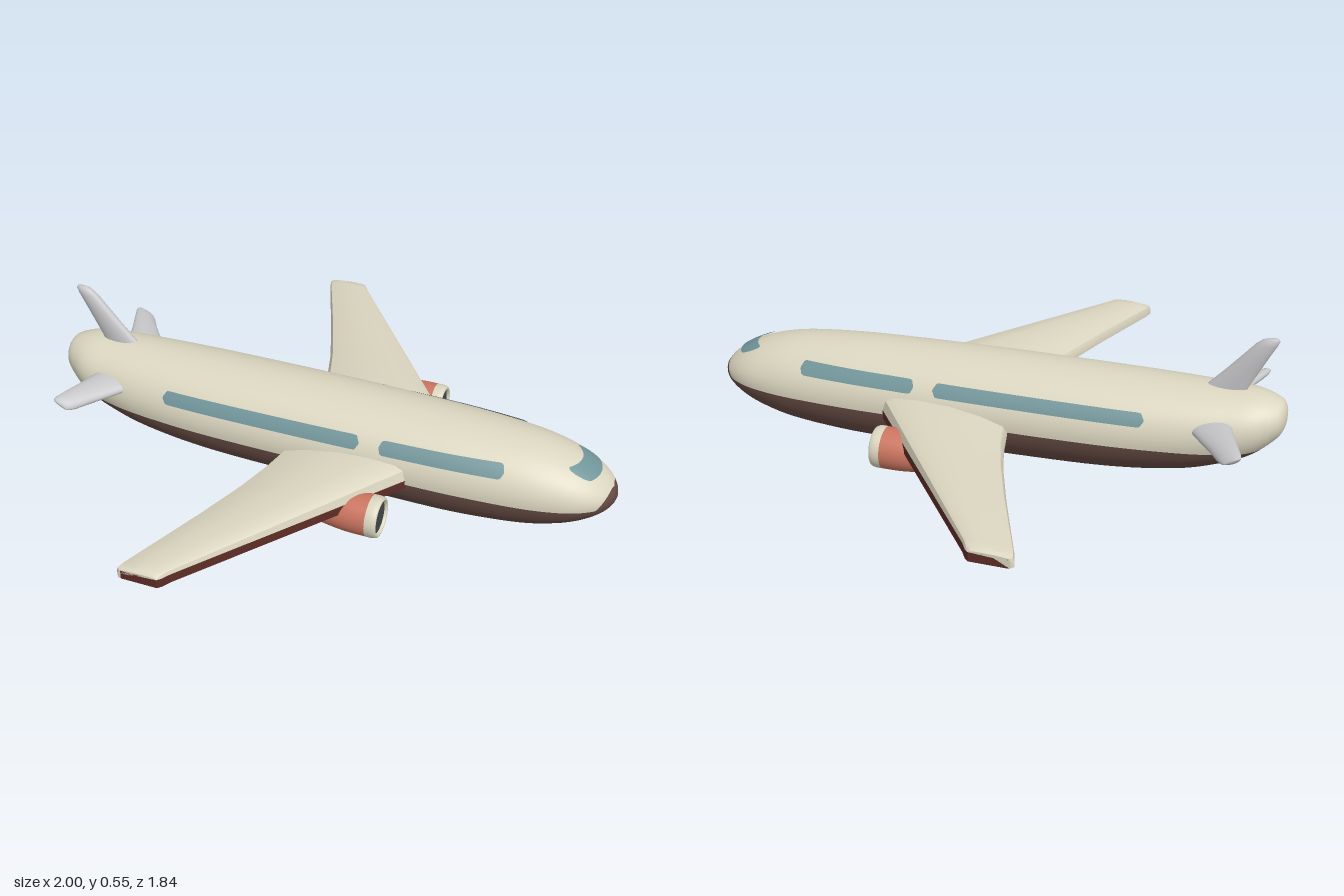
import * as THREE from 'three';
import { toCreasedNormals } from 'three/addons/utils/BufferGeometryUtils.js';

const V = (x, y, z) => new THREE.Vector3(x, y, z);
const paint = (name, color, side = THREE.FrontSide) => {
  const m = new THREE.MeshStandardMaterial({ color, side });
  m.name = name;
  return m;
};

// Skins a list of equal-length rings; closed lofts wrap, get end caps and face outward.
function loft(rings, closed) {
  const n = rings[0].length, pts = rings.flat(), index = [];
  const last = closed ? n : n - 1;
  for (let i = 0; i < rings.length - 1; i++) for (let j = 0; j < last; j++) {
    const a = i * n + j, b = i * n + (j + 1) % n;
    index.push(a, a + n, b + n, a, b + n, b);
  }
  if (closed) {
    for (const [r, flip] of [[0, false], [rings.length - 1, true]]) {
      const c = pts.length, mid = V(0, 0, 0);
      rings[r].forEach(p => mid.addScaledVector(p, 1 / n));
      pts.push(mid);
      for (let j = 0; j < n; j++) {
        const a = r * n + j, b = r * n + (j + 1) % n;
        index.push(...(flip ? [c, b, a] : [c, a, b]));
      }
    }
    let volume = 0;
    for (let k = 0; k < index.length; k += 3)
      volume += pts[index[k]].dot(pts[index[k + 1]].clone().cross(pts[index[k + 2]]));
    if (volume < 0) index.reverse();
  }
  const g = new THREE.BufferGeometry().setFromPoints(pts);
  g.setIndex(index);
  g.computeVertexNormals();
  return g;
}

// Fuselage stations: x, top, bottom, half width
const STATIONS = [
  [-1, .28, .27, .005], [-.993, .312, .235, .045], [-.97, .335, .198, .08], [-.9, .354, .138, .125],
  [-.8, .358, .09, .15], [-.65, .36, .048, .172], [-.4, .36, .02, .19], [0, .358, .008, .195],
  [.3, .352, .001, .194], [.5, .345, .002, .19], [.7, .328, .018, .176], [.82, .302, .045, .155],
  [.9, .27, .076, .127], [.96, .23, .112, .086], [.99, .197, .142, .042], [1, .17, .165, .004]
];
const heights = new THREE.CatmullRomCurve3(STATIONS.map(s => V(s[0], s[1], s[2])), false, 'catmullrom');
const widths = new THREE.CatmullRomCurve3(STATIONS.map(s => V(s[0], s[3], 0)), false, 'catmullrom');
const SECTIONS = Array.from({ length: 121 }, (_, i) => {
  const h = heights.getPoint(i / 120), w = widths.getPoint(i / 120);
  return { x: h.x, yc: (h.y + h.z) / 2, ry: Math.max((h.y - h.z) / 2, .001), rz: Math.max(w.y, .001) };
});
function sectionAt(x) {
  let i = 0;
  while (i < SECTIONS.length - 2 && SECTIONS[i + 1].x < x) i++;
  const a = SECTIONS[i], b = SECTIONS[i + 1], f = (x - a.x) / (b.x - a.x), o = {};
  for (const k in a) o[k] = a[k] + (b[k] - a[k]) * f;
  return o;
}

// One half of the hull, above or below the paint line that rises at the nose
function hullShell(upper) {
  return loft(SECTIONS.map(s => {
    const line = .168 - .008 * s.x + Math.max(0, s.x - .95) * 1.5;
    const a0 = Math.asin(THREE.MathUtils.clamp((line - s.yc) / s.ry, -1, 1));
    const from = upper ? a0 : -Math.PI - a0, to = upper ? Math.PI - a0 : a0;
    return Array.from({ length: 41 }, (_, j) => {
      const a = from + (to - from) * j / 40;
      return V(s.x, s.yc + s.ry * Math.sin(a), s.rz * Math.cos(a));
    });
  }), false);
}

// Rounded rectangle grid moved onto the hull by a placing rule
function pane(w, h, r, place) {
  const g = new THREE.PlaneGeometry(w, h, 64, 8), p = g.attributes.position;
  for (let i = 0; i < p.count; i++) {
    const u = p.getX(i), d = Math.max(0, Math.abs(u) - w / 2 + r);
    const v = p.getY(i) * (h / 2 - r + Math.sqrt(Math.max(0, r * r - d * d))) / (h / 2);
    p.setXYZ(i, ...place(u, v));
  }
  g.computeVertexNormals();
  return g;
}
const sidePane = (x0, x1, s) => pane(x1 - x0, .042, .018, (u, v) => {
  const x = (x0 + x1) / 2 + u * s, y = .272 + v, c = sectionAt(x);
  return [x, y + .001, s * (c.rz * Math.sqrt(Math.max(0, 1 - ((y - c.yc) / c.ry) ** 2)) + .004)];
});
const nosePane = () => pane(.15, .036, .016, (u, v) => {
  const y = .267 + v, z = -u;
  let lo = .5, hi = 1;
  for (let k = 0; k < 24; k++) {
    const m = (lo + hi) / 2, c = sectionAt(m);
    if (((y - c.yc) / c.ry) ** 2 + (z / c.rz) ** 2 < 1) lo = m; else hi = m;
  }
  return [lo + .004, y + .003, z];
});

// Tail surface with oval sections: span, rear x, front x, thickness; drop tilts the nose down
function tailFoil(stations, drop, place) {
  return loft(stations.map(([d, x0, x1, th]) => Array.from({ length: 24 }, (_, j) => {
    const a = j / 24 * Math.PI * 2, c = Math.cos(a);
    return place((x0 + x1) / 2 + c * (x1 - x0) / 2, Math.sin(a) * th / 2 - c * drop, d);
  })), true);
}

// Wing planform: span, trailing x, leading x, top height
const WING = [
  [.1, -.095, .4, .234], [.19, -.108, .335, .234], [.3, -.132, .252, .229], [.42, -.167, .162, .223],
  [.6, -.233, .026, .214], [.88, -.345, -.185, .201], [.91, -.354, -.203, .197], [.921, -.345, -.215, .188]
];
function wingTop(s) {
  return toCreasedNormals(loft(WING.map(([z, x0, x1, top]) => {
    const rise = top - .182;
    return [[0, .152], [0, .17], [.03, .182 + rise * .15], [.2, .182 + rise * .6], [.45, .182 + rise * .93],
      [.7, top], [.9, .182 + rise * .9], [.97, .182 + rise * .65], [1, .182], [.08, .175], [.04, .152]]
      .map(([f, y]) => V(x0 + (x1 - x0) * f, y, s * z));
  }), true), .6);
}
function wingSlab(s) {
  const outline = [...WING.map(w => [w[0], w[1] + .008]), ...[...WING].reverse().map(w => [w[0], w[2]])];
  const shape = new THREE.Shape(outline.map(([z, x]) => new THREE.Vector2(x, -s * z)));
  return new THREE.ExtrudeGeometry(shape, { depth: .032, bevelEnabled: false })
    .rotateX(-Math.PI / 2).translate(0, .15, 0);
}

export function createModel() {
  const cream = paint('cream', 0xdad5bf), brown = paint('brown', 0x654a43);
  const maroon = paint('maroon', 0x5e2c26), salmon = paint('salmon', 0xcb7560);
  const glass = paint('window blue', 0x71959a, THREE.DoubleSide);
  const grey = paint('light grey', 0xc6c6c8), dark = paint('intake dark', 0x434a47);
  const model = new THREE.Group();
  model.name = 'airliner';
  const add = (name, geometry, material, parent = model) => {
    const mesh = new THREE.Mesh(geometry, material);
    mesh.name = name;
    parent.add(mesh);
    return mesh;
  };

  add('upperFuselage', hullShell(true), cream);
  add('lowerFuselage', hullShell(false), brown);
  add('windshield', nosePane(), glass);

  // Tail fin
  add('tailFin', tailFoil([
    [.28, -.85, -.66, .046], [.36, -.865, -.735, .045], [.42, -.895, -.79, .043], [.48, -.925, -.842, .04],
    [.52, -.946, -.876, .036], [.538, -.954, -.897, .028], [.546, -.95, -.915, .012]
  ], 0, (x, t, d) => V(x, d, t)), grey);

  for (const s of [1, -1]) {
    const side = s > 0 ? 'Front' : 'Back';
    add('rearWindows' + side, sidePane(-.56, .16, s), glass);
    add('forwardWindows' + side, sidePane(.23, .65, s), glass);
    add('wing' + side, wingTop(s), cream);
    add('wingEdge' + side, wingSlab(s), [cream, maroon]);

    // Tailplane
    add('tailplane' + side, tailFoil([
      [.08, -.83, -.66, .046], [.13, -.84, -.698, .046], [.2, -.862, -.75, .045], [.26, -.884, -.796, .043],
      [.3, -.898, -.822, .038], [.316, -.9, -.836, .028], [.324, -.89, -.85, .01]
    ], .012, (x, t, d) => V(x, .264 + t, s * d)), grey);

    // Engine, turned about the x axis
    const engine = new THREE.Group();
    engine.name = 'engine' + side;
    engine.position.set(0, .127, s * .337);
    model.add(engine);
    const turned = points => new THREE.LatheGeometry(
      new THREE.SplineCurve(points.map(p => new THREE.Vector2(p[0], p[1]))).getPoints(24), 40).rotateZ(-Math.PI / 2);
    add('engineBody', turned([[.001, .002], [.025, .006], [.042, .025], [.053, .07], [.064, .14], [.07, .2], [.071, .268]]), salmon, engine);
    add('engineRim', turned([[.071, .266], [.071, .285], [.068, .299], [.062, .304], [.056, .3], [.054, .285]]), cream, engine);
    add('engineIntake', new THREE.CircleGeometry(.057, 40).rotateY(Math.PI / 2).translate(.294, 0, 0), dark, engine);
  }
  return model;
}
